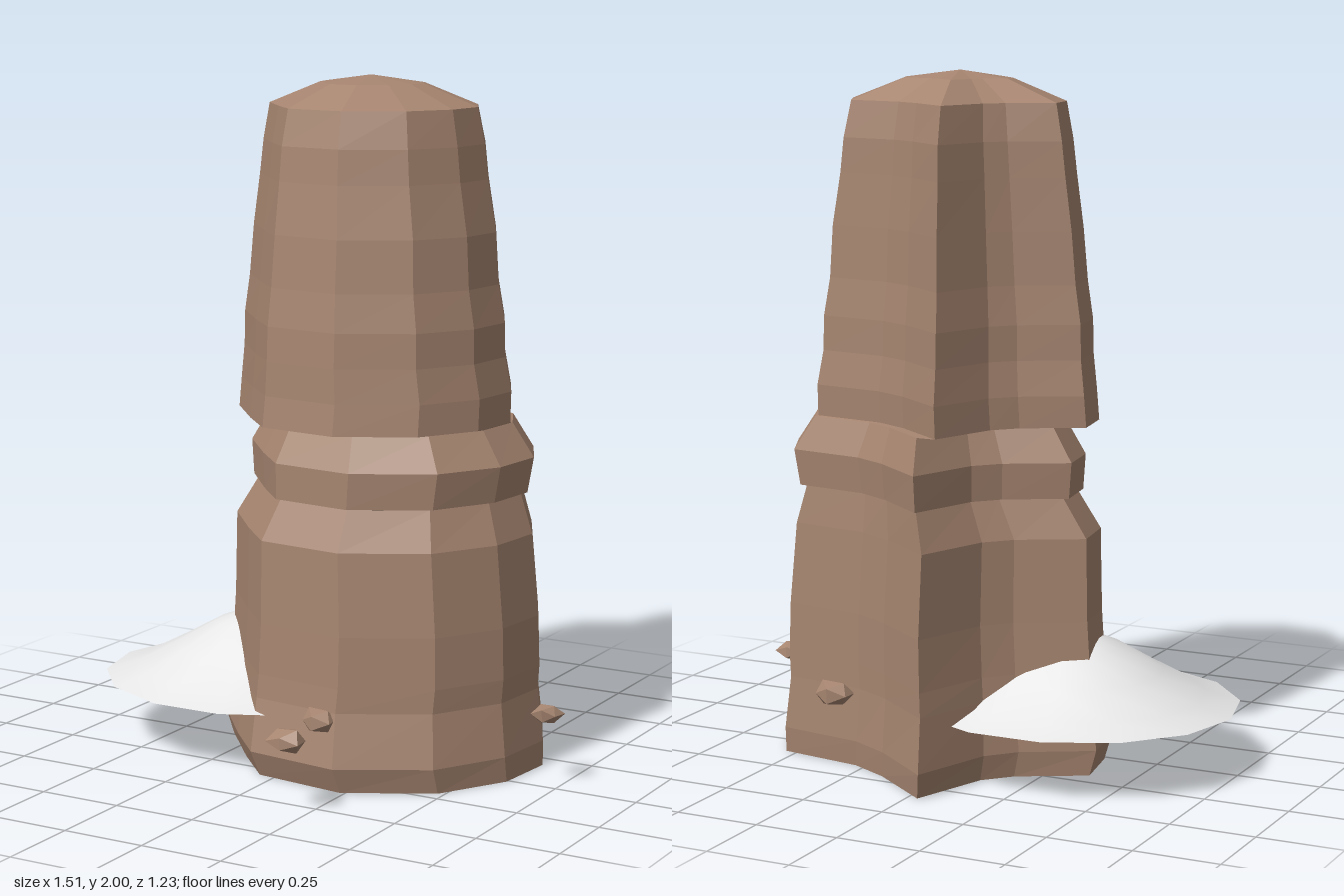
import * as THREE from 'three';

const rock = new THREE.MeshStandardMaterial({ color: 0xa68570, flatShading: true, side: THREE.DoubleSide });
rock.name = 'brown rock';
const snow = new THREE.MeshStandardMaterial({ color: 0xebebeb, side: THREE.DoubleSide });
snow.name = 'pale snow';

// Column cross-section at the base, [x, z], with a sharp ridge at the back
const section = [
  [-0.37, -0.19], [-0.34, -0.01], [-0.18, 0.19], [-0.05, 0.335], [0.235, 0.37],
  [0.48, 0.23], [0.6, 0.02], [0.62, -0.19], [0.535, -0.37], [0.28, -0.41],
  [0.16, -0.475], [-0.03, -0.626], [-0.11, -0.38], [-0.18, -0.3],
];

// Extents of the column at each height: [y, xMin, xMax, zMin, zMax]
const levels = [
  [0, -0.37, 0.62, -0.6, 0.34],
  [0.075, -0.39, 0.62, -0.62, 0.37],
  [0.23, -0.375, 0.6, -0.6, 0.34],
  [0.3, -0.37, 0.605, -0.595, 0.335],
  [0.45, -0.36, 0.6, -0.59, 0.33],
  [0.69, -0.355, 0.577, -0.577, 0.317],
  [0.805, -0.285, 0.535, -0.55, 0.265],
  // protruding band
  [0.806, -0.31, 0.55, -0.577, 0.27],
  [0.91, -0.32, 0.567, -0.587, 0.27],
  [1.008, -0.26, 0.5, -0.535, 0.217],
  // upper shaft, overhanging the band
  [1.01, -0.355, 0.5, -0.545, 0.265],
  [1.1, -0.35, 0.5, -0.545, 0.255],
  [1.2, -0.337, 0.482, -0.53, 0.25],
  [1.3, -0.335, 0.48, -0.525, 0.245],
  [1.41, -0.318, 0.46, -0.51, 0.232],
  [1.56, -0.305, 0.45, -0.5, 0.22],
  [1.71, -0.286, 0.422, -0.487, 0.2],
  [1.81, -0.275, 0.41, -0.48, 0.19],
  [1.915, -0.255, 0.39, -0.45, 0.165],
];

function columnGeometry() {
  const n = section.length;
  const rings = levels.map(([y, x0, x1, z0, z1]) => section.map(([x, z]) => [
    x0 + (x1 - x0) * (x + 0.37) / 0.99, y, z0 + (z1 - z0) * (z + 0.626) / 0.996,
  ]));
  // domed cap: one ring halfway in, then the summit
  const peak = [0.06, 2, -0.15];
  rings.push(rings.at(-1).map(([x, , z]) => [(x + peak[0]) / 2, 1.978, (z + peak[2]) / 2]));
  rings.push(section.map(() => peak));

  const index = [];
  for (let j = 0; j < rings.length - 1; j++) {
    for (let i = 0; i < n; i++) {
      const a = j * n + i, b = j * n + (i + 1) % n;
      index.push(a, b, b + n);
      if (j < rings.length - 2) index.push(a, b + n, a + n);
    }
  }
  const geo = new THREE.BufferGeometry();
  geo.setAttribute('position', new THREE.Float32BufferAttribute(rings.flat(2), 3));
  geo.setIndex(index);
  geo.computeVertexNormals();
  return geo;
}

// Flattened pebble, its corners pushed in and out by a rule
function pebbleGeometry(seed) {
  const geo = new THREE.IcosahedronGeometry(1, 0);
  const p = geo.attributes.position;
  const v = new THREE.Vector3();
  for (let i = 0; i < p.count; i++) {
    v.fromBufferAttribute(p, i);
    v.multiplyScalar(1 + 0.14 * Math.sin(v.x * 5 + v.y * 7 + v.z * 9 + seed * 2));
    p.setXYZ(i, v.x, v.y, v.z);
  }
  geo.computeVertexNormals();
  return geo;
}

export function createModel() {
  const model = new THREE.Group();
  const add = (name, geo, mat) => {
    const mesh = new THREE.Mesh(geo, mat);
    mesh.name = name;
    model.add(mesh);
    return mesh;
  };

  add('rockColumn', columnGeometry(), rock);

  // Snow mound, open underneath, leaning into the column
  const profile = [[1, 0.185], [0.8, 0.215], [0.55, 0.28], [0.3, 0.35], [0.12, 0.385], [0, 0.395]]
    .map(([r, y]) => new THREE.Vector2(r, y));
  const mound = add('snowMound', new THREE.LatheGeometry(profile, 14, -Math.PI / 2), snow);
  mound.scale.set(0.495, 1, 0.459);
  mound.position.set(-0.26, 0, -0.072);

  // Loose pebbles: [x, y, z, rx, ry, rz]
  [
    [0.2, 0.21, 0.575, 0.058, 0.037, 0.052],
    [0.71, 0.21, -0.025, 0.045, 0.034, 0.043],
    [0.17, 0.207, 0.345, 0.055, 0.035, 0.048],
    [0.34, 0.213, -0.415, 0.062, 0.038, 0.046],
  ].forEach(([x, y, z, rx, ry, rz], i) => {
    const pebble = add('pebble' + (i + 1), pebbleGeometry(i), rock);
    pebble.scale.set(rx, ry, rz);
    pebble.position.set(x, y, z);
  });

  return model;
}
